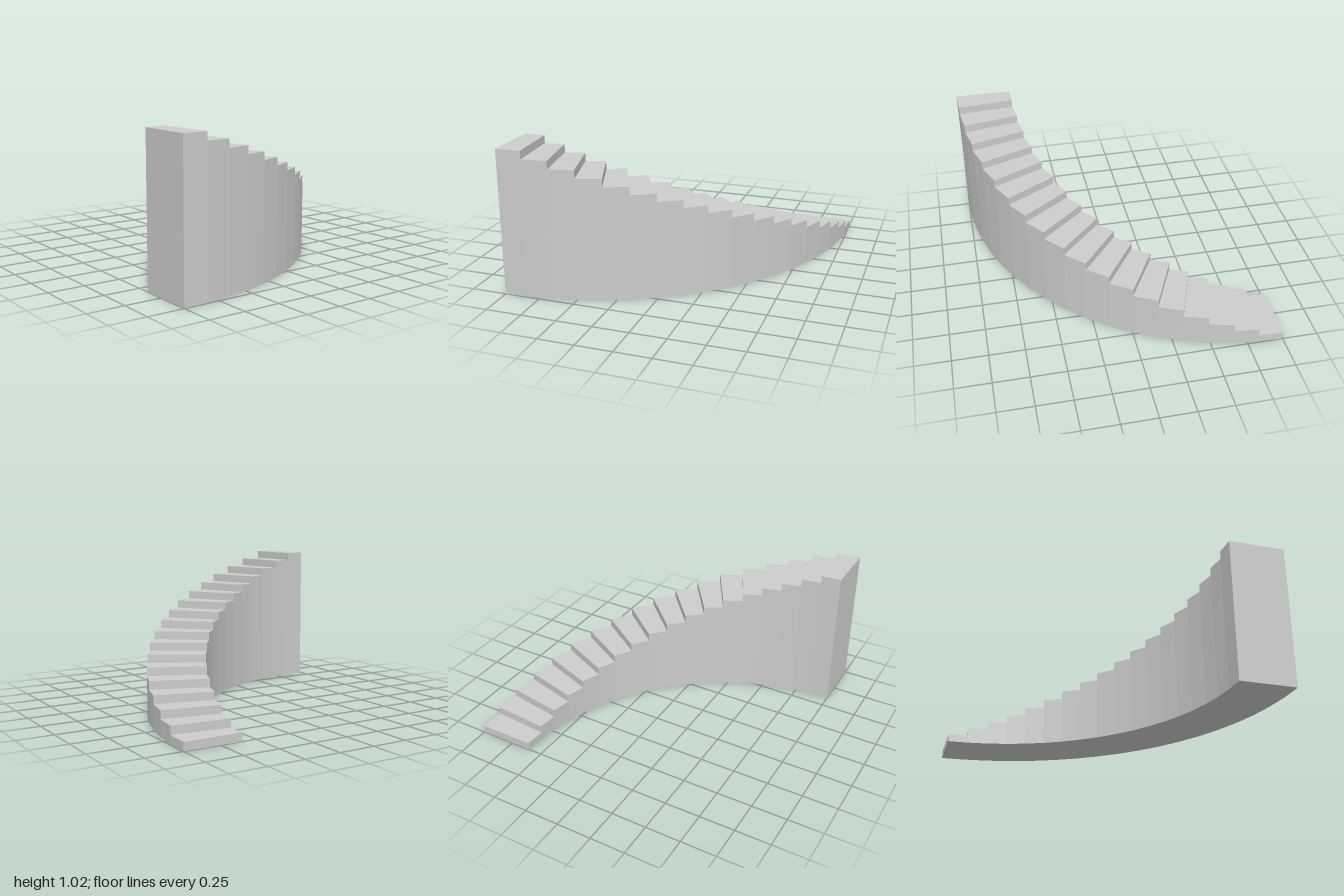
import * as THREE from 'three';

const STEPS = 18;
const RISE = 0.0565;
const INNER = 1.6;
const OUTER = 2;
const TURN = Math.PI / 2;

export function createModel() {
  const group = new THREE.Group();
  group.name = 'curvedStaircase';
  const stone = new THREE.MeshStandardMaterial({ color: 0xcccccc });
  stone.name = 'light grey stone';

  // Plan point on the arc, which turns about x = -1, z = 1
  const arcPoint = (radius, angle) =>
    new THREE.Vector2(-1 + radius * Math.sin(angle), -1 + radius * Math.cos(angle));

  // Each step is a solid wedge from the floor up to its tread
  for (let i = 0; i < STEPS; i++) {
    const a = (i / STEPS) * TURN;
    const b = ((i + 1) / STEPS) * TURN;
    const plan = new THREE.Shape([
      arcPoint(INNER, a), arcPoint(OUTER, a), arcPoint(OUTER, b), arcPoint(INNER, b),
    ]);
    const geometry = new THREE.ExtrudeGeometry(plan, { depth: RISE * (i + 1), bevelEnabled: false });
    geometry.rotateX(-Math.PI / 2);
    const step = new THREE.Mesh(geometry, stone);
    step.name = `step${i + 1}`;
    group.add(step);
  }
  return group;
}
